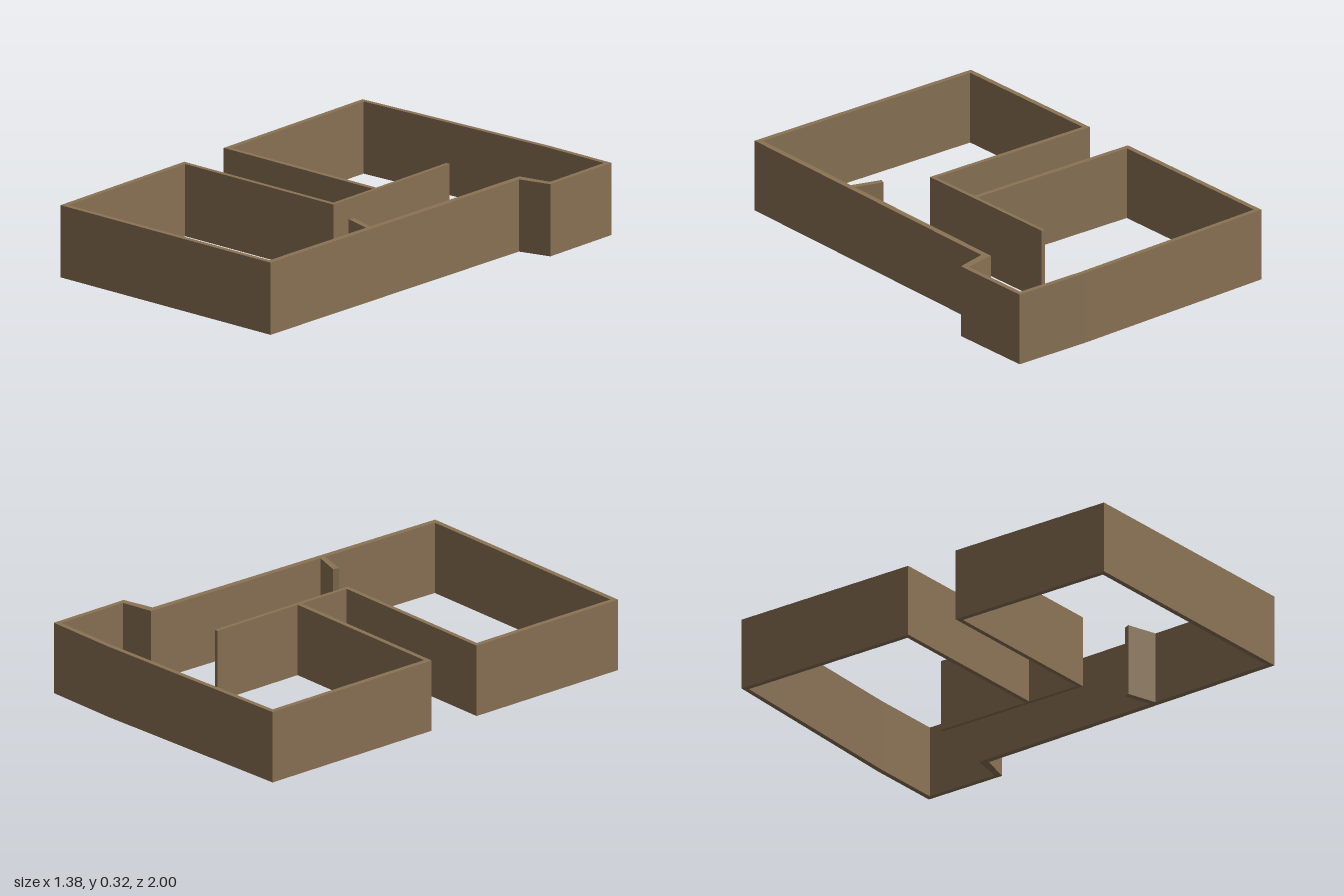
import * as THREE from 'three';

const HEIGHT = 0.325;

export function createModel() {
  const model = new THREE.Group();
  model.name = 'floorPlanWalls';
  const material = new THREE.MeshStandardMaterial({ color: 0x8b7355 });

  // Upright wall from its plan outline, given as [x, z] corners
  function wall(name, outline) {
    const shape = new THREE.Shape(outline.map(([x, z]) => new THREE.Vector2(x, -z)));
    const geometry = new THREE.ExtrudeGeometry(shape, { depth: HEIGHT, bevelEnabled: false });
    geometry.rotateX(-Math.PI / 2);
    const mesh = new THREE.Mesh(geometry, material);
    mesh.name = name;
    model.add(mesh);
  }

  // Rear room, mitred at the corners
  wall('rearRoomSideWall', [[-0.69, -0.953], [-0.666, -0.932], [-0.666, -0.077], [-0.69, -0.055]]);
  wall('rearRoomPartition', [[-0.69, -0.055], [-0.666, -0.077], [0.162, -0.077], [0.162, -0.055]]);
  wall('backWall', [
    [-0.69, -0.953], [0.33, -1], [0.69, -1], [0.667, -0.977], [0.33, -0.977], [-0.666, -0.932],
  ]);

  // Alcove in the back corner
  wall('alcoveSideWall', [[0.69, -1], [0.69, -0.605], [0.667, -0.629], [0.667, -0.977]]);
  wall('alcoveReturnWall', [[0.69, -0.605], [0.545, -0.566], [0.518, -0.598], [0.667, -0.629]]);

  // Long, slightly slanted wall with its short angled stub
  wall('longSideWall', [[0.545, -0.566], [0.51, 1], [0.484, 0.976], [0.518, -0.598]]);
  wall('stubWall', [[0.371, 0.302], [0.498, 0.342], [0.497, 0.369], [0.36, 0.328]]);

  // Front room
  wall('frontWall', [[0.51, 1], [-0.69, 1], [-0.666, 0.976], [0.484, 0.976]]);
  wall('frontRoomSideWall', [[-0.69, 1], [-0.69, 0.2], [-0.666, 0.221], [-0.666, 0.976]]);
  wall('frontRoomPartition', [[-0.69, 0.2], [0.162, 0.2], [0.18, 0.221], [-0.666, 0.221]]);

  // Corridor wall joining both partitions
  wall('corridorWall', [[0.162, -0.53], [0.18, -0.53], [0.18, 0.221], [0.162, 0.2]]);

  return model;
}
